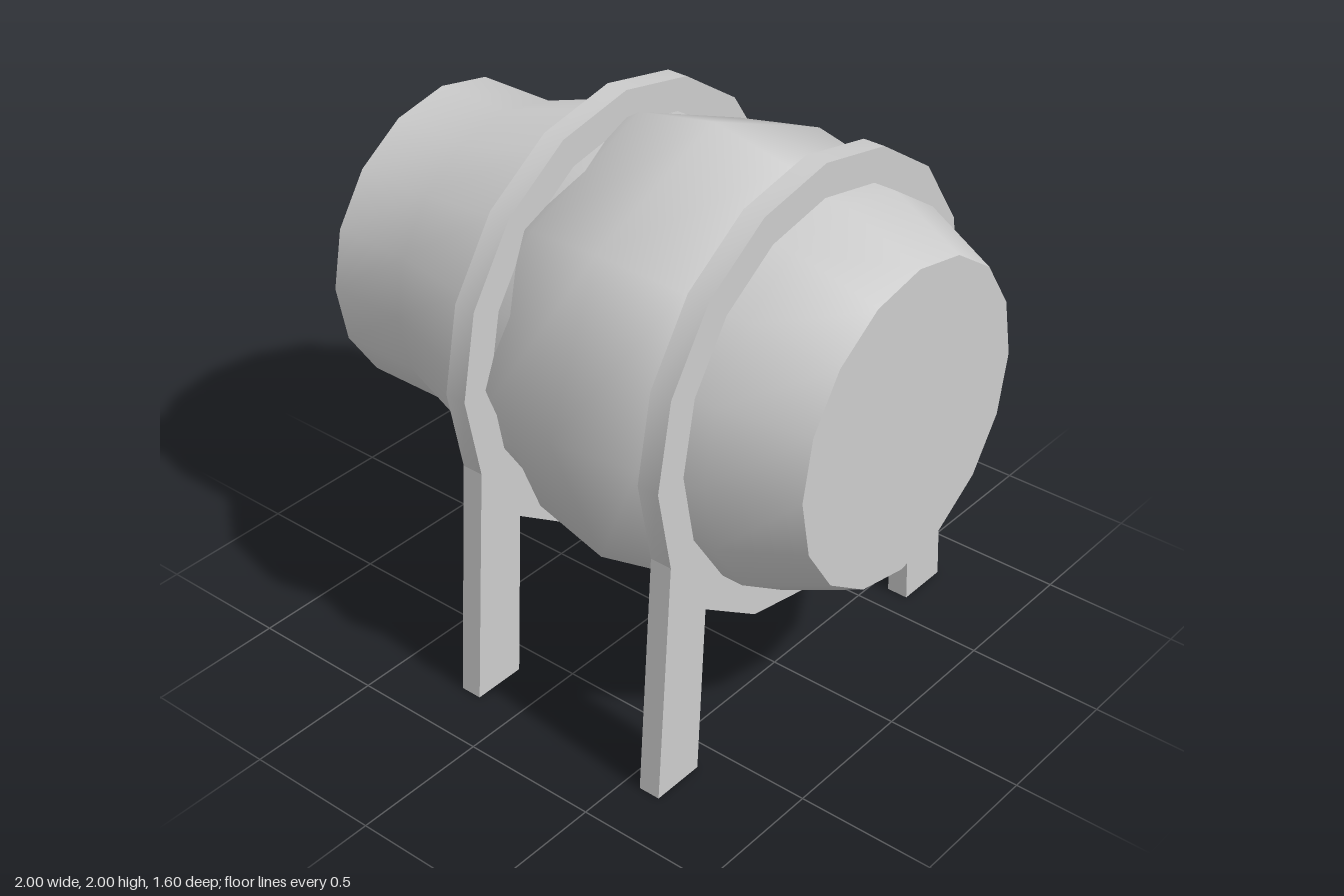
import * as THREE from 'three';
import { toCreasedNormals } from 'three/addons/utils/BufferGeometryUtils.js';

const SIDES = 16;
const AXIS_Y = 1.2; // height of the barrel's axis
const HOOP_R = 0.8;
const HOOP_W = 0.08;

const v2 = (x, y) => new THREE.Vector2(x, y);

// Regular polygon in the cross-section plane
function ringPoints(radius) {
  return Array.from({ length: SIDES }, (_, i) => {
    const a = (i / SIDES) * Math.PI * 2;
    return v2(Math.cos(a) * radius, AXIS_Y + Math.sin(a) * radius);
  });
}

// Extrude a cross-section shape along x, centred on x = 0
function slab(shape) {
  const geo = new THREE.ExtrudeGeometry(shape, { depth: HOOP_W, bevelEnabled: false });
  return geo.translate(0, 0, -HOOP_W / 2).rotateY(Math.PI / 2);
}

export function createModel() {
  const model = new THREE.Group();
  model.name = 'barrelOnStand';
  const material = new THREE.MeshStandardMaterial({ color: 0xcccccc });

  const add = (parent, name, geometry) => {
    const mesh = new THREE.Mesh(geometry, material);
    mesh.name = name;
    parent.add(mesh);
    return mesh;
  };

  // Barrel: closed profile (radius, position along x), turned onto its side
  const profile = [
    [0, -1], [0.56, -1], [0.56, -0.7], [0.68, -0.32], [0.68, 0.72], [0.56, 1], [0, 1],
  ].map(([r, x]) => v2(r, x));
  const barrel = new THREE.LatheGeometry(profile, SIDES).rotateZ(-Math.PI / 2);
  add(model, 'barrel', toCreasedNormals(barrel, 0.8)).position.y = AXIS_Y;

  // Belly: eight-sided sphere swelling out between the hoops, poles along x
  const belly = new THREE.SphereGeometry(0.8, 8, 8).rotateZ(-Math.PI / 2);
  add(model, 'belly', belly).position.set(0.2, AXIS_Y, 0);

  // Hoop: faceted flat ring, softly shaded around its rim
  const hoopShape = new THREE.Shape(ringPoints(HOOP_R));
  hoopShape.holes.push(new THREE.Path(ringPoints(0.62)));
  const hoop = toCreasedNormals(slab(hoopShape), 0.5);

  // Legs: tapered posts meeting one facet of the hoop
  const rim = ringPoints(HOOP_R);
  const legGeometry = (side) => {
    const outline = [rim[SIDES - 1], rim[SIDES - 2], v2(0.6, 0), v2(0.8, 0)];
    return slab(new THREE.Shape(outline.map((p) => v2(p.x * side, p.y))));
  };
  const legs = { frontLeg: legGeometry(-1), backLeg: legGeometry(1) };

  // Two identical stands
  for (const [name, x] of [['rightStand', -0.2], ['leftStand', 0.6]]) {
    const stand = new THREE.Group();
    stand.name = name;
    stand.position.x = x;
    add(stand, 'hoop', hoop);
    for (const [legName, geometry] of Object.entries(legs)) add(stand, legName, geometry);
    model.add(stand);
  }

  return model;
}
